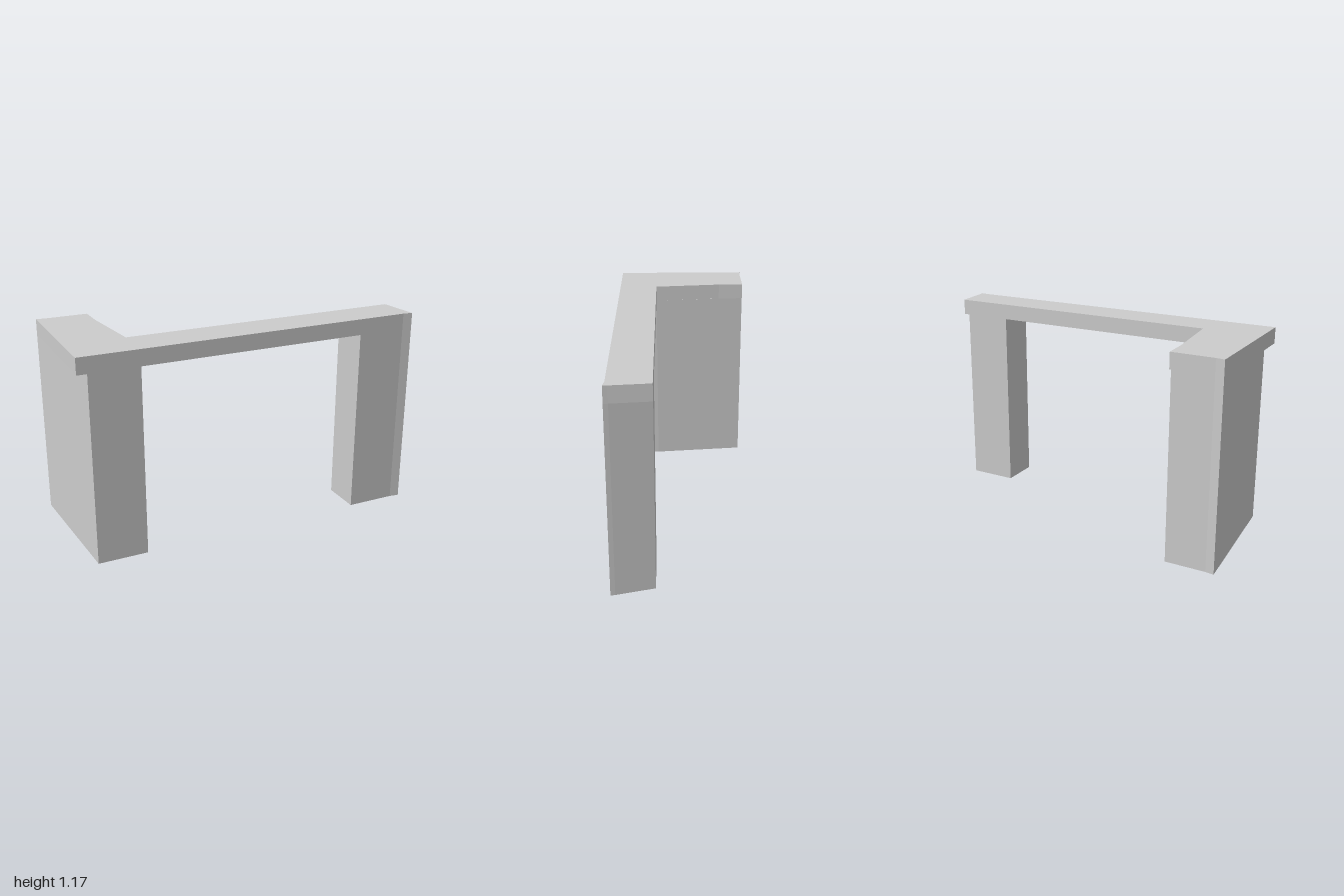
import * as THREE from 'three';

const material = new THREE.MeshStandardMaterial({ color: 0xcccccc, flatShading: true });

// Upright prism over an [x, z] plan outline, from bottom to top
function prism(name, plan, bottom, top) {
  const shape = new THREE.Shape(plan.map(([x, z]) => new THREE.Vector2(x, z)));
  const geometry = new THREE.ExtrudeGeometry(shape, { depth: top - bottom, bevelEnabled: false });
  geometry.rotateX(Math.PI / 2).translate(0, top, 0);
  const mesh = new THREE.Mesh(geometry, material);
  mesh.name = name;
  return mesh;
}

export function createModel() {
  const group = new THREE.Group();
  group.name = 'lShapedTable';
  const underside = 1.08, height = 1.172;

  // L-shaped top: long beam with a wing running back at one end
  group.add(prism('top', [
    [-1, 0.387], [0.945, 0.387], [1, 0.395], [0.997, 0.37], [0.975, 0.16],
    [-0.66, 0.16], [-0.702, -0.24], [-0.705, -0.39], [-0.95, -0.39], [-1, -0.397],
  ], underside, height));

  // Deep support under the wing, its outer face leaning inward to the front
  group.add(prism('wingSupport', [
    [-0.944, 0.387], [-0.66, 0.387], [-0.66, 0.16], [-0.715, -0.39],
    [-0.95, -0.39], [-1, -0.397],
  ], 0, underside));

  // Short support under the free end of the beam
  group.add(prism('endSupport', [
    [0.658, 0.387], [0.945, 0.387], [1, 0.395], [0.995, 0.37], [0.94, 0.16], [0.658, 0.16],
  ], 0, underside));

  return group;
}
